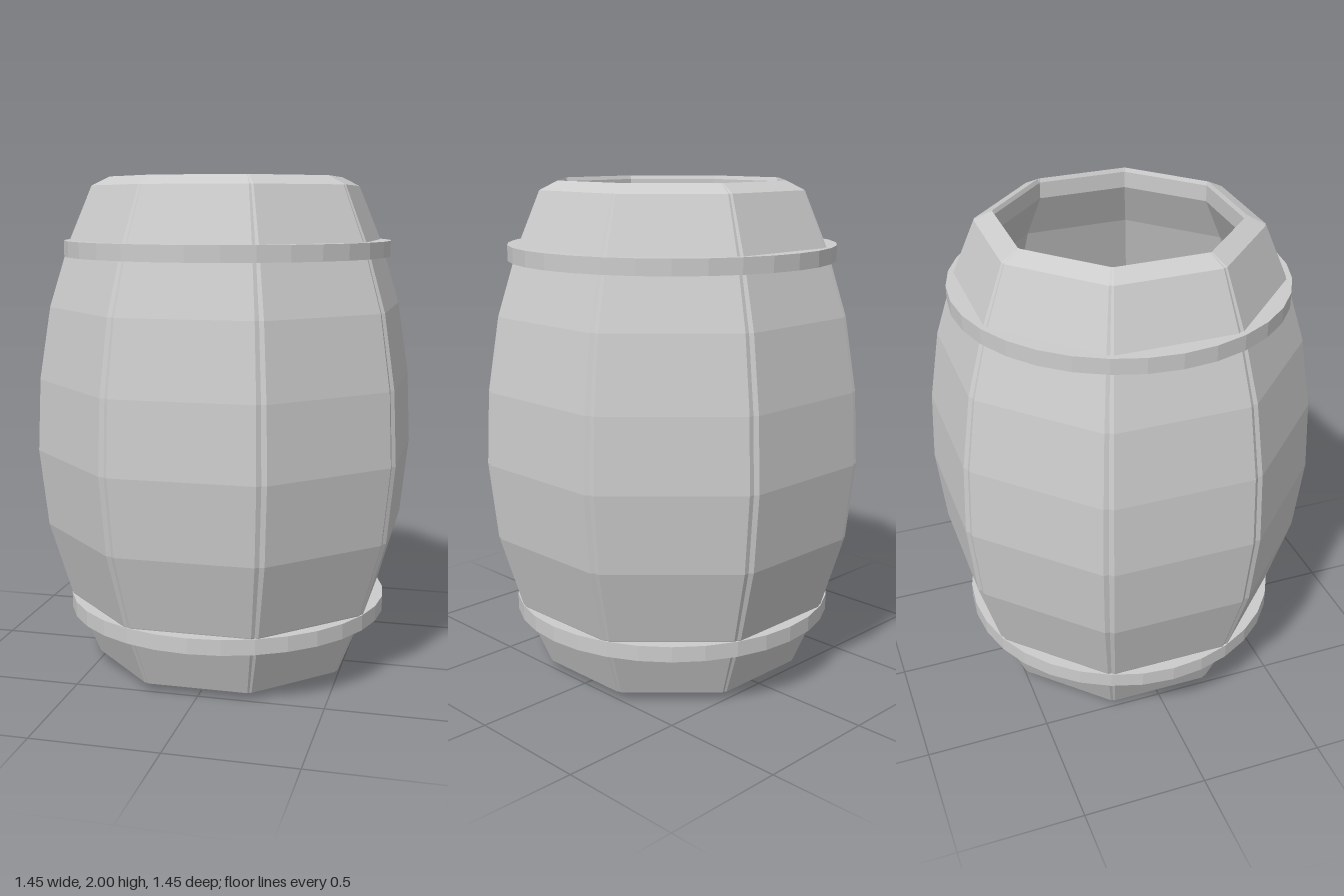
import * as THREE from 'three';

const SIDES = 8;
const TAN = Math.tan(Math.PI / SIDES);

// Barrel wall section as [distance of the flat from the axis, height, groove width]
const OUTER = [
  [0.505, 0.035, 0.009], [0.61, 0.3, 0.015], [0.695, 0.6, 0.02], [0.726, 0.91, 0.021],
  [0.713, 1.2, 0.02], [0.669, 1.49, 0.018], [0.595, 1.74, 0.014], [0.505, 1.965, 0.009],
];
const WALL = 0.08;

// Sweeps the closed wall section around an octagon, sinking a V groove between staves
function staveGeometry() {
  const inner = OUTER.slice(1, -1).reverse().map(([r, y]) => [r - WALL, y, 0]);
  const section = [
    ...OUTER,
    [0.437, 2, 0.004], [0.43, 1.985, 0], [0.43, 1.92, 0], // top rim
    ...inner,
    [0.43, 0.08, 0], [0.43, 0.015, 0], [0.437, 0, 0.004], // bottom rim
  ];

  const point = (i, [r, y, groove]) => {
    const stave = Math.floor(i / 3), k = i % 3;
    const angle = (stave * 2 * Math.PI) / SIDES;
    // k = 0, 1: edges of the flat; k = 2: bottom of the groove after it
    const depth = k === 2 ? r - groove * 0.65 : r;
    const across = k === 2 ? depth * TAN : (k ? 1 : -1) * (r * TAN - Math.max(groove, 0.004));
    return [
      depth * Math.sin(angle) + across * Math.cos(angle), y,
      depth * Math.cos(angle) - across * Math.sin(angle),
    ];
  };

  const positions = [];
  const columns = SIDES * 3;
  for (let i = 0; i < columns; i++) {
    const next = (i + 1) % columns;
    section.forEach((p, j) => {
      const q = section[(j + 1) % section.length];
      const a = point(i, p), b = point(next, p), c = point(next, q), d = point(i, q);
      positions.push(...a, ...b, ...c, ...a, ...c, ...d);
    });
  }
  const geometry = new THREE.BufferGeometry();
  geometry.setAttribute('position', new THREE.Float32BufferAttribute(positions, 3));
  geometry.computeVertexNormals();
  return geometry;
}

// Flat round band with a rectangular section
function hoopGeometry() {
  const r0 = 0.58, r1 = 0.657, h = 0.031;
  const section = [[r1, -h], [r1, h], [r0, h], [r0, -h], [r1, -h]];
  return new THREE.LatheGeometry(section.map(([x, y]) => new THREE.Vector2(x, y)), 32);
}

export function createModel() {
  const model = new THREE.Group();
  model.name = 'barrel';
  const material = new THREE.MeshStandardMaterial({ color: 0xcccccc, flatShading: true });

  const staves = new THREE.Mesh(staveGeometry(), material);
  staves.name = 'staves';
  model.add(staves);

  const hoop = hoopGeometry();
  for (const [name, y] of [['lowerHoop', 0.265], ['upperHoop', 1.72]]) {
    const mesh = new THREE.Mesh(hoop, material);
    mesh.name = name;
    mesh.position.y = y;
    model.add(mesh);
  }
  return model;
}
